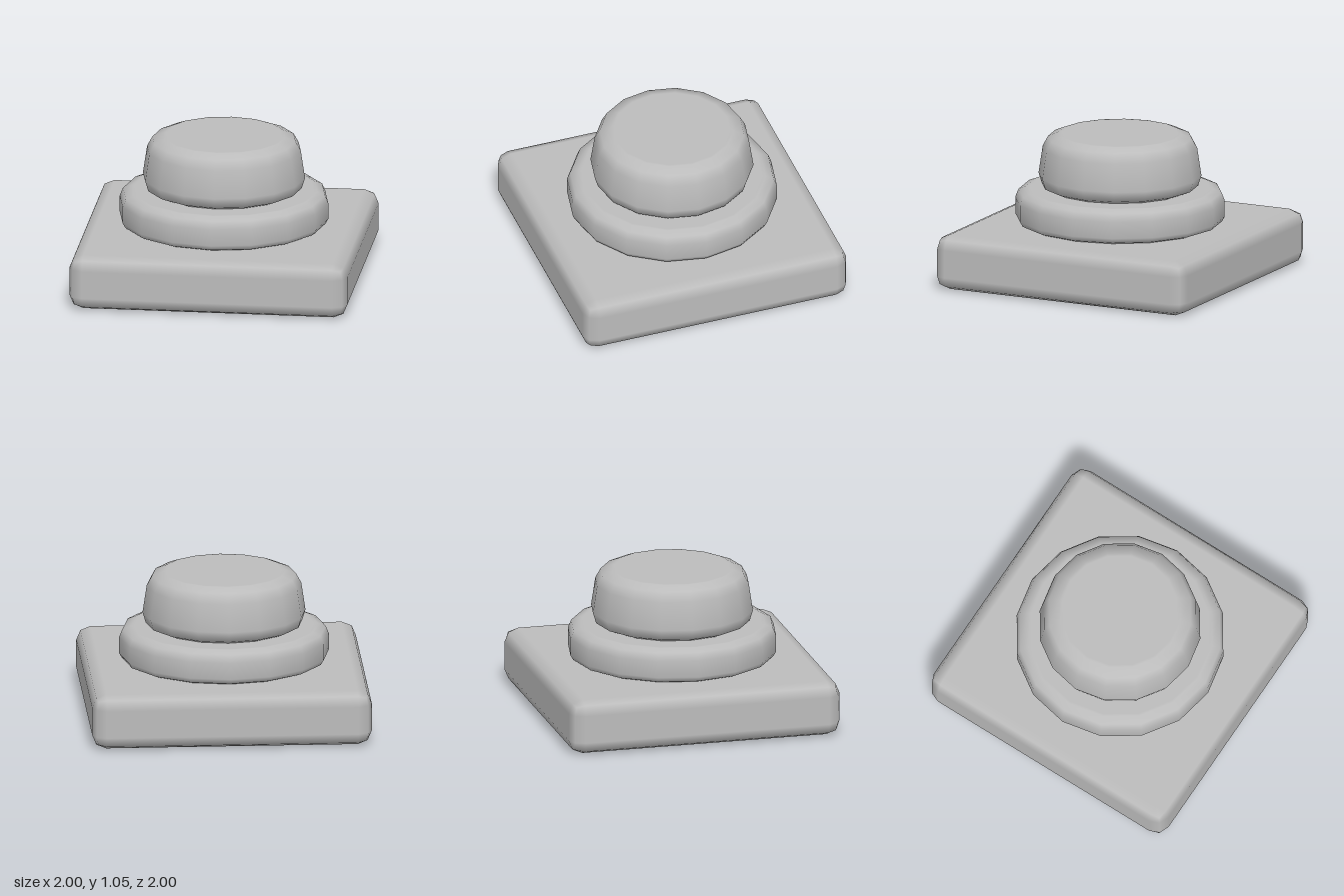
import * as THREE from 'three';
import { RoundedBoxGeometry } from 'three/addons/geometries/RoundedBoxGeometry.js';

const SIDES = 16;

// Closed, smooth turned solid from [radius, y] points, listed bottom to top
function turned(name, points, material) {
  const [r0, y0] = points[0];
  const [r1, y1] = points[points.length - 1];
  // Extra rings just inside each cap keep the flat faces evenly shaded
  const profile = [[0, y0], [r0 - 0.02, y0], ...points, [r1 - 0.02, y1], [0, y1]]
    .map(([r, y]) => new THREE.Vector2(r, y));
  const mesh = new THREE.Mesh(new THREE.LatheGeometry(profile, SIDES), material);
  mesh.name = name;
  return mesh;
}

export function createModel() {
  const group = new THREE.Group();
  group.name = 'steppedPedestalButton';
  const grey = new THREE.MeshStandardMaterial({ color: 0xbcbcbc });
  grey.name = 'plain grey';

  // Square slab with bevelled edges
  const base = new THREE.Mesh(new RoundedBoxGeometry(2, 0.4, 2, 1, 0.1), grey);
  base.name = 'base';
  base.position.y = 0.2;
  group.add(base);

  // Wide round collar
  group.add(turned('collar', [
    [0.69, 0.4], [0.73, 0.415], [0.75, 0.45],
    [0.75, 0.57], [0.727, 0.627], [0.67, 0.65],
  ], grey));

  // Tapered cap with a rounded top edge
  group.add(turned('cap', [
    [0.5, 0.65], [0.56, 0.675], [0.583, 0.75],
    [0.553, 0.95], [0.515, 1.02], [0.44, 1.05],
  ], grey));

  return group;
}
